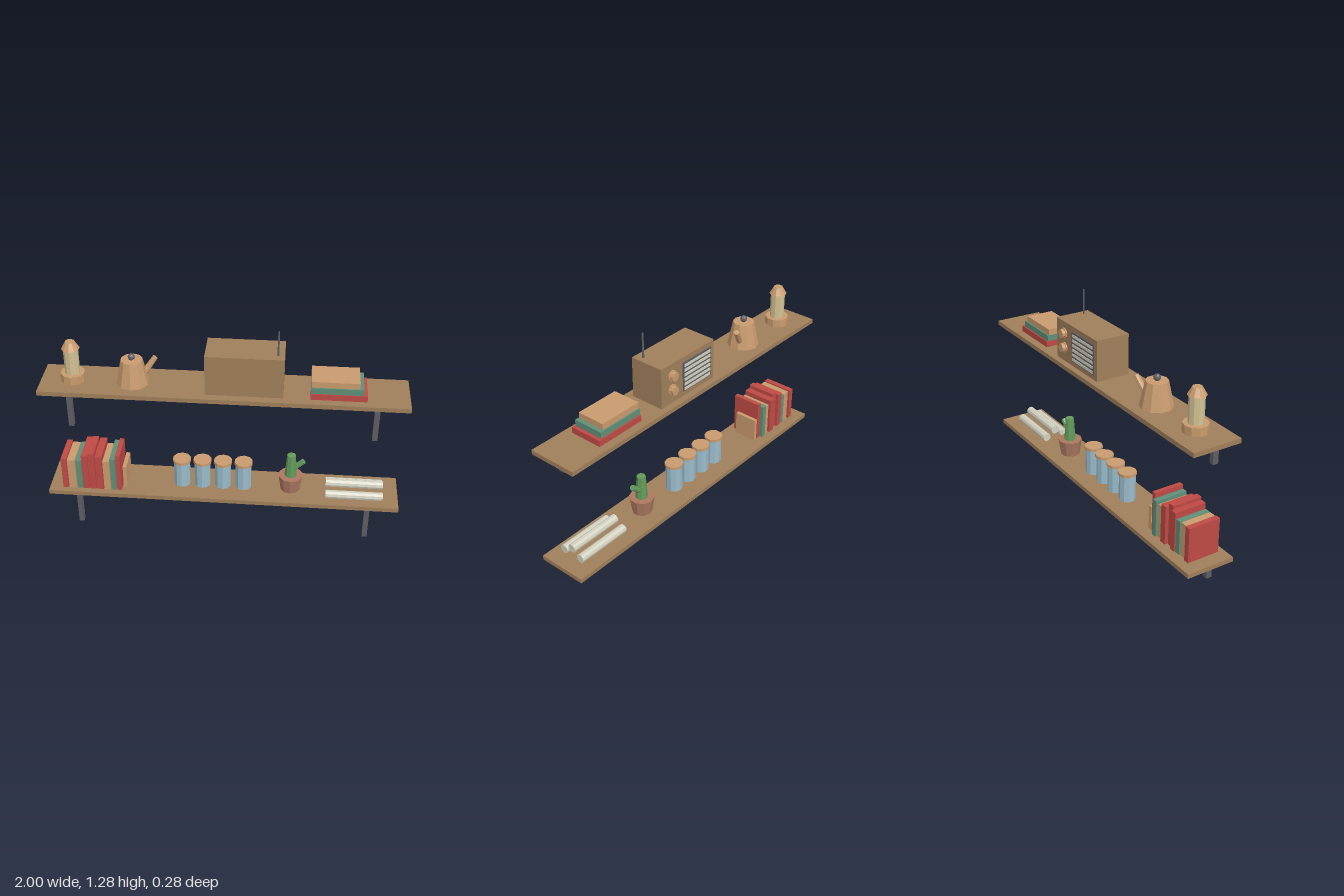
import * as THREE from 'three';

const mat = (name, color, extra = {}) => {
  const m = new THREE.MeshStandardMaterial({ color, flatShading: true, ...extra });
  m.name = name;
  return m;
};

export function createModel() {
  const root = new THREE.Group();
  root.name = 'wallShelves';
  const wood = mat('wood', 0xa07f5b);
  const tan = mat('tan', 0xc99b6e);
  const cream = mat('cream', 0xd2c192);
  const blue = mat('paleBlue', 0x9abbcb);
  const red = mat('red', 0xbf4a45);
  const teal = mat('teal', 0x5f8f78);
  const green = mat('cactusGreen', 0x629a5a);
  const clay = mat('clay', 0xac7760);
  const paper = mat('paper', 0xd2d0c0);
  const metal = mat('darkMetal', 0x5e5e64);

  const group = (name, x = 0, y = 0, z = 0, parent = root) => {
    const g = new THREE.Group();
    g.name = name;
    g.position.set(x, y, z);
    parent.add(g);
    return g;
  };
  const add = (name, geo, m, parent) => {
    const mesh = new THREE.Mesh(geo, m);
    mesh.name = name;
    parent.add(mesh);
    return mesh;
  };
  // Box given by its limits on each axis
  const box = (name, m, [x0, x1], [y0, y1], [z0, z1], parent = root) => {
    const b = add(name, new THREE.BoxGeometry(x1 - x0, y1 - y0, z1 - z0), m, parent);
    b.position.set((x0 + x1) / 2, (y0 + y1) / 2, (z0 + z1) / 2);
    return b;
  };
  // Upright faceted cylinder between two heights
  const cyl = (name, m, rTop, rBottom, y0, y1, parent, sides = 10) => {
    const c = add(name, new THREE.CylinderGeometry(rTop, rBottom, y1 - y0, sides), m, parent);
    c.position.y = (y0 + y1) / 2;
    return c;
  };
  // Faceted rod between two points
  const rod = (name, m, a, b, rA, rB, parent, sides = 8) => {
    const p = new THREE.Vector3(...a), q = new THREE.Vector3(...b);
    const r = add(name, new THREE.CylinderGeometry(rB, rA, p.distanceTo(q), sides), m, parent);
    r.position.copy(p).add(q).multiplyScalar(0.5);
    r.quaternion.setFromUnitVectors(new THREE.Vector3(0, 1, 0), q.sub(p).normalize());
    return r;
  };

  // Two boards, each on a pair of L-shaped brackets
  const tops = { lower: 0.22, upper: 0.9 };
  for (const [level, top] of Object.entries(tops)) {
    const g = group(level + 'Shelf', 0, top);
    box('board', wood, [-1, 1], [-0.026, 0], [-0.141, 0.141], g);
    for (const x of [-0.825, 0.825]) {
      const b = group('bracket', x, 0, 0, g);
      box('bracketPost', metal, [-0.014, 0.014], [level === 'lower' ? -0.22 : -0.215, -0.026], [0.108, 0.141], b);
      box('bracketArm', metal, [-0.014, 0.014], [-0.05, -0.026], [-0.094, 0.108], b);
    }
  }

  // Lantern
  const lantern = group('lantern', -0.825, tops.upper);
  cyl('lanternBase', tan, 0.067, 0.067, 0, 0.048, lantern);
  cyl('lanternGlass', cream, 0.041, 0.041, 0.048, 0.196, lantern);
  cyl('lanternRoof', tan, 0.026, 0.05, 0.195, 0.237, lantern);

  // Kettle
  const kettle = group('kettle', -0.497, tops.upper);
  cyl('kettleBody', tan, 0.06, 0.09, 0, 0.143, kettle);
  add('kettleKnob', new THREE.SphereGeometry(0.02, 8, 6), metal, kettle).position.y = 0.158;
  rod('kettleSpout', tan, [0.055, 0.04, -0.02], [0.123, 0.137, -0.045], 0.019, 0.015, kettle);

  // Radio, with its controls facing the back
  const radio = group('radio', 0, tops.upper);
  box('radioCase', wood, [-0.095, 0.325], [0, 0.235], [-0.105, 0.095], radio);
  box('radioGrille', metal, [-0.068, 0.158], [0.03, 0.204], [-0.11, -0.105], radio);
  for (let i = 0; i < 6; i++) {
    const y = 0.036 + i * 0.028;
    box('grilleSlat', paper, [-0.06, 0.15], [y, y + 0.016], [-0.113, -0.109], radio);
  }
  for (const y of [0.083, 0.167]) {
    rod('knobRing', tan, [0.243, y, -0.105], [0.243, y, -0.112], 0.031, 0.031, radio, 10);
    rod('radioKnob', tan, [0.243, y, -0.11], [0.243, y, -0.131], 0.025, 0.025, radio, 10);
  }
  rod('antenna', metal, [0.29, 0.235, 0.048], [0.29, 0.378, 0.048], 0.006, 0.005, radio, 6);

  // Stack of lying books
  const stack = group('bookStack', 0, tops.upper);
  [[red, 0.77, -0.095, 0.095], [teal, 0.75, -0.087, 0.09], [tan, 0.727, -0.079, 0.084]].forEach(([m, x1, z0, z1], i) =>
    box('lyingBook', m, [0.47, x1], [i * 0.035, i * 0.035 + 0.035], [z0, z1], stack));

  // Row of standing books: colour, left edge, right edge, height, back
  const row = group('bookRow', 0, tops.lower);
  const books = [
    [red, -0.922, -0.89, 0.202, -0.085], [tan, -0.886, -0.842, 0.196, -0.075],
    [teal, -0.838, -0.806, 0.196, -0.08], [red, -0.803, -0.768, 0.23, -0.085],
    [red, -0.765, -0.729, 0.247, -0.07], [red, -0.725, -0.686, 0.226, -0.088],
    [tan, -0.682, -0.645, 0.198, -0.075], [teal, -0.641, -0.611, 0.216, -0.087],
    [red, -0.607, -0.581, 0.241, -0.07],
  ];
  for (const [m, x0, x1, h, z0] of books) box('standingBook', m, [x0, x1], [0, h], [z0, 0.105], row);
  box('smallBook', tan, [-0.575, -0.553], [0, 0.142], [-0.07, 0.07], row);

  // Four lidded jars
  for (let i = 0; i < 4; i++) {
    const jar = group('jar', -0.24 + i * 0.118, tops.lower);
    cyl('jarBody', blue, 0.047, 0.047, 0, 0.158, jar);
    cyl('jarLid', tan, 0.053, 0.053, 0.157, 0.174, jar);
  }

  // Potted cactus
  const cactus = group('cactus', 0.385, tops.lower);
  cyl('pot', clay, 0.071, 0.056, 0, 0.096, cactus);
  cyl('cactusStem', green, 0.025, 0.035, 0.095, 0.236, cactus, 8);
  rod('cactusArm', green, [0.015, 0.145, 0], [0.071, 0.197, 0], 0.017, 0.016, cactus);

  // Three paper rolls
  const rolls = group('paperRolls', 0, tops.lower);
  for (const [y, z] of [[0.025, 0.071], [0.062, 0.012], [0.025, -0.047]])
    rod('paperRoll', paper, [0.587, y, z], [0.911, y, z], 0.025, 0.025, rolls, 10);

  return root;
}
